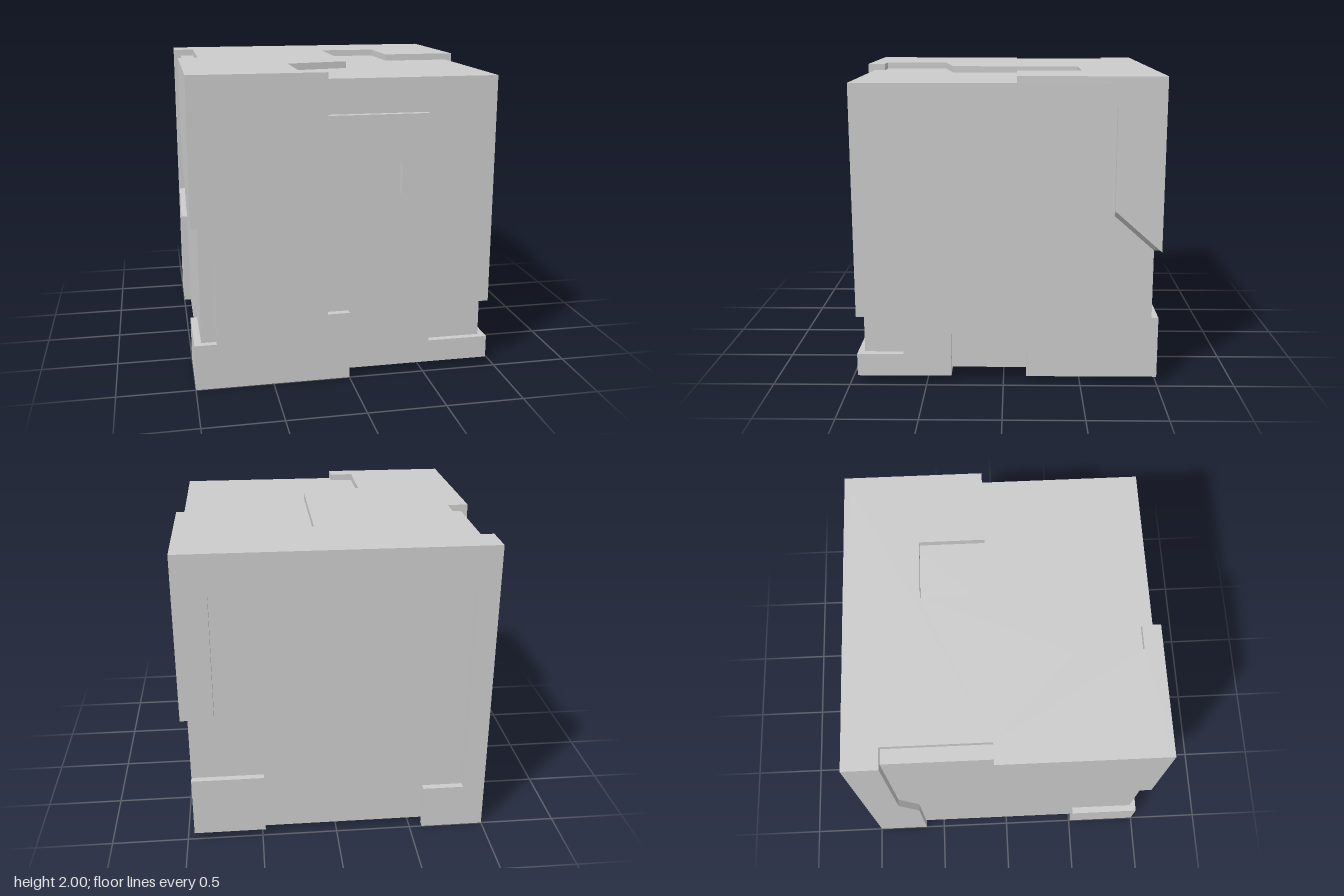
import * as THREE from 'three';

const OUT = 1, MID = 0.955, IN = 0.91; // raised panel, main surface and recess distances from the centre
const V = (x, y, z) => new THREE.Vector3(x, y, z);

// Each face: in-plane axes, outward axis, signs from model to in-plane coordinates, height of its origin.
// Outlines are written as (x, y) for front/back, (z, y) for right/left and (x, z) for top/bottom.
const FACES = {
  front: { u: V(1, 0, 0), v: V(0, 1, 0), n: V(0, 0, 1), s: [1, 1], y: 0 },
  back: { u: V(-1, 0, 0), v: V(0, 1, 0), n: V(0, 0, -1), s: [-1, 1], y: 0 },
  right: { u: V(0, 0, -1), v: V(0, 1, 0), n: V(1, 0, 0), s: [-1, 1], y: 0 },
  left: { u: V(0, 0, 1), v: V(0, 1, 0), n: V(-1, 0, 0), s: [1, 1], y: 0 },
  top: { u: V(1, 0, 0), v: V(0, 0, -1), n: V(0, 1, 0), s: [1, -1], y: 1 },
  bottom: { u: V(1, 0, 0), v: V(0, 0, 1), n: V(0, -1, 0), s: [1, 1], y: 1 },
};

export function createModel() {
  const group = new THREE.Group();
  const material = new THREE.MeshStandardMaterial({ color: 0xcccccc, flatShading: true });

  const add = (name, geometry) => {
    const mesh = new THREE.Mesh(geometry, material);
    mesh.name = name;
    group.add(mesh);
    return mesh;
  };

  // Flat slab with the given outline, lying on one face between two distances from the centre
  const slab = (name, face, outline, from = MID, to = OUT) => {
    const f = FACES[face];
    const shape = new THREE.Shape(outline.map(([a, b]) => new THREE.Vector2(a * f.s[0], b * f.s[1])));
    const geo = new THREE.ExtrudeGeometry(shape, { depth: to - from, bevelEnabled: false });
    geo.translate(0, 0, from);
    geo.applyMatrix4(new THREE.Matrix4().makeBasis(f.u, f.v, f.n).setPosition(0, f.y, 0));
    return add(name, geo);
  };

  // Core block, with skins on the three faces that carry recesses
  const core = new THREE.BoxGeometry(MID + IN, 1.865, MID + IN);
  core.translate((IN - MID) / 2, 0.09 + 1.865 / 2, (IN - MID) / 2);
  add('core', core);
  slab('frontSkin', 'front', [
    [-MID, 0.045], [MID, 0.045], [MID, 0.195], [0.55, 0.195],
    [0.55, 0.45], [MID, 0.45], [MID, 1.955], [-MID, 1.955],
  ], IN, MID);
  slab('rightSkin', 'right', [
    [MID, 0.045], [0.34, 0.045], [0.34, 0.335], [0.045, 0.335], [-0.15, 0.23], [-0.15, 0.045],
    [-MID, 0.045], [-MID, 1.955], [MID, 1.955], [MID, 0.45], [0.65, 0.45], [0.65, 0.195], [MID, 0.195],
  ], IN, MID);
  slab('bottomSkin', 'bottom', [
    [-MID, -MID], [MID, -MID], [MID, -0.15], [0.79, -0.15],
    [0.79, 0.34], [MID, 0.34], [MID, MID], [-MID, MID],
  ], IN, MID);

  // Raised front panel with hooked tab and left notch
  slab('frontPanel', 'front', [
    [-1, 0], [0, 0], [0, 0.45], [-0.145, 0.45], [-0.145, 1.435], [0.33, 1.435], [0.33, 1.225],
    [0.5, 1.225], [0.5, 1.735], [-0.145, 1.735], [-0.145, 2], [-1, 2],
    [-1, 1.065], [-0.86, 1.065], [-0.86, 0.3], [-1, 0.3],
  ]);

  // Raised top panel
  slab('topPanel', 'top', [
    [-1, -1], [1, -1], [1, -0.085], [0.5, -0.085], [0.5, -0.51], [0.105, -0.51], [0.105, 0.36],
    [-0.305, 0.445], [-0.305, 0.88], [-0.145, 0.88], [-0.145, 1], [-1, 1],
    [-1, -0.085], [-0.86, -0.085], [-0.86, -0.77], [-1, -0.77],
  ]);

  // Raised back frame and its corner block
  slab('backFrame', 'back', [
    [MID, 2], [MID, 0.9], [0.785, 0.9], [0.785, 1.73], [0.333, 1.73], [0.333, 1.48], [-0.314, 1.48],
    [-0.585, 1.73], [-0.855, 1.73], [-0.855, 0.3], [-0.585, 0.3], [-0.585, 0], [-1, 0], [-1, 2],
  ]);
  slab('backBlock', 'back', [[0.48, 0.045], [MID, 0.045], [MID, 0.45], [0.48, 0.45]]);

  // Raised right panel; its sloping lower edge leans inward
  const right = slab('rightPanel', 'right', [
    [-0.085, 2], [-0.085, 1.82], [-0.7, 1.82], [-0.7, 1.165], [-MID, 0.94], [-1, 0.9], [-1, 2],
  ]);
  const p = right.geometry.attributes.position;
  for (let i = 0; i < p.count; i++) {
    if (p.getX(i) < 0.98 && p.getY(i) < 1.5 && p.getZ(i) > -0.99) p.setY(i, p.getY(i) - 0.04);
  }
  right.geometry.computeVertexNormals();

  // Raised left panels
  slab('leftRearStrip', 'left', [[-1, 0], [-0.64, 0], [-0.64, 0.7], [-0.77, 0.9], [-0.77, 2], [-1, 2]]);
  slab('leftUpperPanel', 'left', [[-0.085, 2], [1, 2], [1, 1.065], [0.5, 1.065], [-0.085, 1.47]]);
  slab('leftLowerBlock', 'left', [[0.51, 0], [1, 0], [1, 0.3], [0.51, 0.3]]);

  // Raised bottom panels
  slab('bottomFrontPanel', 'bottom', [[-1, 1], [0, 1], [0, 0.88], [-0.145, 0.88], [-0.305, 0.51], [-1, 0.51]]);
  slab('bottomRearPanel', 'bottom', [[-1, -1], [-0.585, -1], [-0.585, -MID], [-0.855, -0.64], [-1, -0.64]]);

  return group;
}
